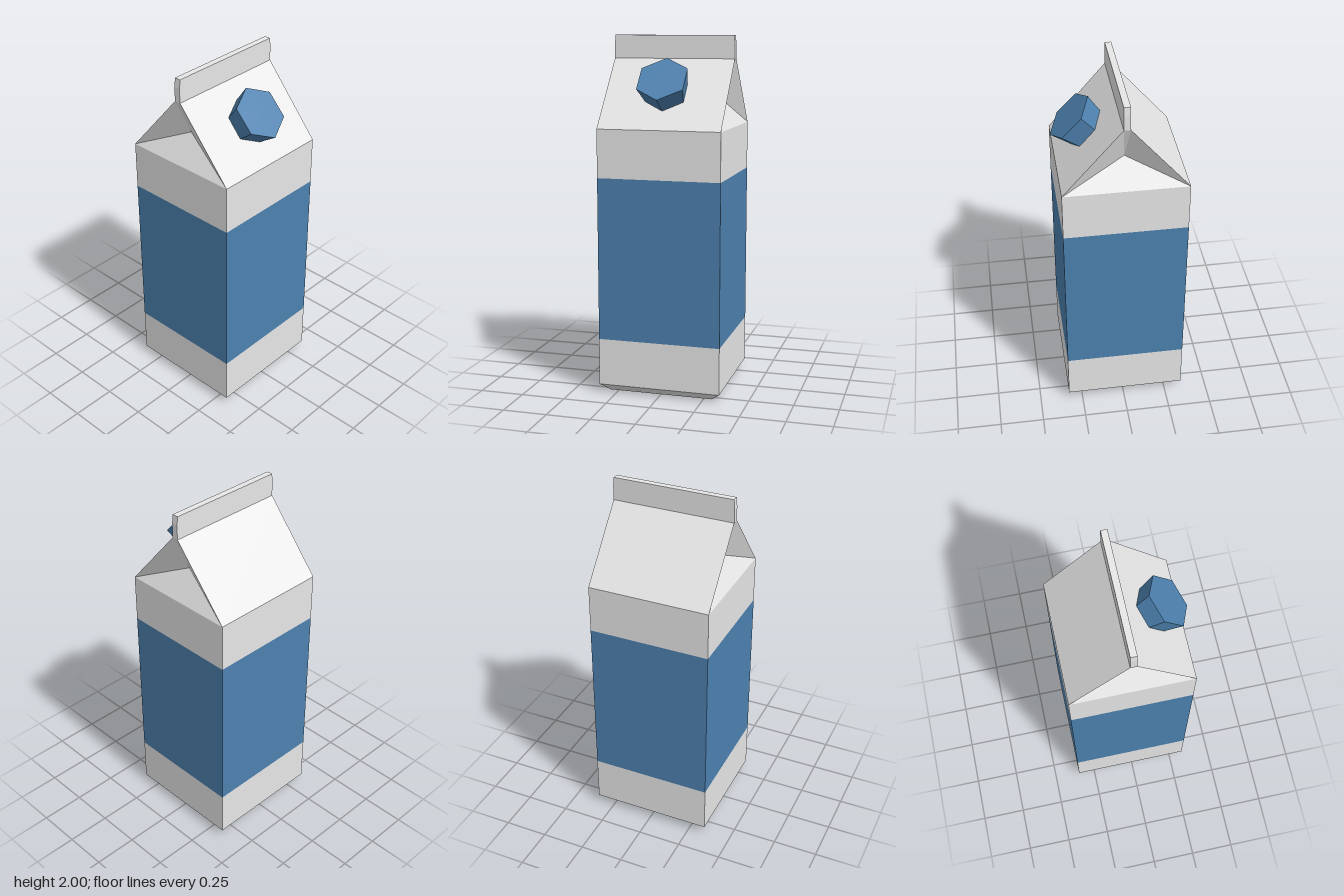
import * as THREE from 'three';

const W = 0.348, D = 0.34;            // half width and half depth of the body
const EAVE = 1.495, RIDGE = 1.87, TOP = 2, FIN = 0.018;

// Flat-faced geometry from convex polygons listed counter-clockwise
function polygons(list) {
  const pos = [];
  for (const p of list)
    for (let i = 1; i < p.length - 1; i++) pos.push(...p[0], ...p[i], ...p[i + 1]);
  const g = new THREE.BufferGeometry();
  g.setAttribute('position', new THREE.Float32BufferAttribute(pos, 3));
  g.computeVertexNormals();
  return g;
}

// Rectangular ring of four corners at height y
const ring = (w, y, d) => [[-w, y, d], [w, y, d], [w, y, -d], [-w, y, -d]];

// Four walls joining two rings
const walls = (a, b) => a.map((p, i) => [p, a[(i + 1) % 4], b[(i + 1) % 4], b[i]]);

export function createModel() {
  const card = new THREE.MeshStandardMaterial({ color: 0xe7e7e7 });
  card.name = 'white card';
  const blue = new THREE.MeshStandardMaterial({ color: 0x4d81af });
  blue.name = 'blue';

  const model = new THREE.Group();
  model.name = 'carton';
  const box = new THREE.Group();
  box.name = 'cartonBox';
  box.position.z = -0.01;
  model.add(box);

  const add = (name, geometry, material, parent = box) => {
    const mesh = new THREE.Mesh(geometry, material);
    mesh.name = name;
    parent.add(mesh);
    return mesh;
  };

  // Bevelled base with its floor
  const floor = ring(0.297, 0, 0.29);
  add('base', polygons([[...floor].reverse(), ...walls(floor, ring(W, 0.045, D))]), card);

  // Body in three bands
  const band = (name, y0, y1, material) =>
    add(name, polygons(walls(ring(W, y0, D), ring(W, y1, D))), material);
  band('lowerBody', 0.045, 0.31, card);
  band('blueBand', 0.31, 1.225, blue);
  band('upperBody', 1.225, EAVE, card);

  // Roof slopes and folded-in gussets, each built for both sides by a half turn
  const slopes = [], gussets = [];
  for (const s of [1, -1]) {
    const v = (x, y, z) => [s * x, y, s * z];
    slopes.push([v(-W, EAVE, D), v(W, EAVE, D), v(W, RIDGE, FIN), v(-W, RIDGE, FIN)]);
    const a = v(W, EAVE, D), b = v(W, EAVE, -D), fold = v(W - 0.095, 1.66, 0);
    const r1 = v(W, RIDGE, FIN), r2 = v(W, RIDGE, -FIN);
    gussets.push([a, b, fold], [b, r2, fold], [r1, a, fold], [r2, r1, fold]);
  }
  add('roofSlopes', polygons(slopes), card);
  add('sideGussets', polygons(gussets), card);

  // Sealed fin along the ridge
  const rim = ring(0.343, TOP, FIN);
  const shoulder = ring(W, TOP - 0.05, FIN);
  add('topFin', polygons([
    ...walls(ring(W, RIDGE, FIN), shoulder), ...walls(shoulder, rim), rim,
  ]), card);

  // Six-sided screw cap on the front slope
  const capShape = new THREE.CylinderGeometry(0.15, 0.121, 0.14, 6).toNonIndexed();
  capShape.computeVertexNormals();
  const cap = add('screwCap', capShape, blue, model);
  cap.position.set(0, 1.719, 0.197);
  cap.rotation.x = 0.81;

  return model;
}
